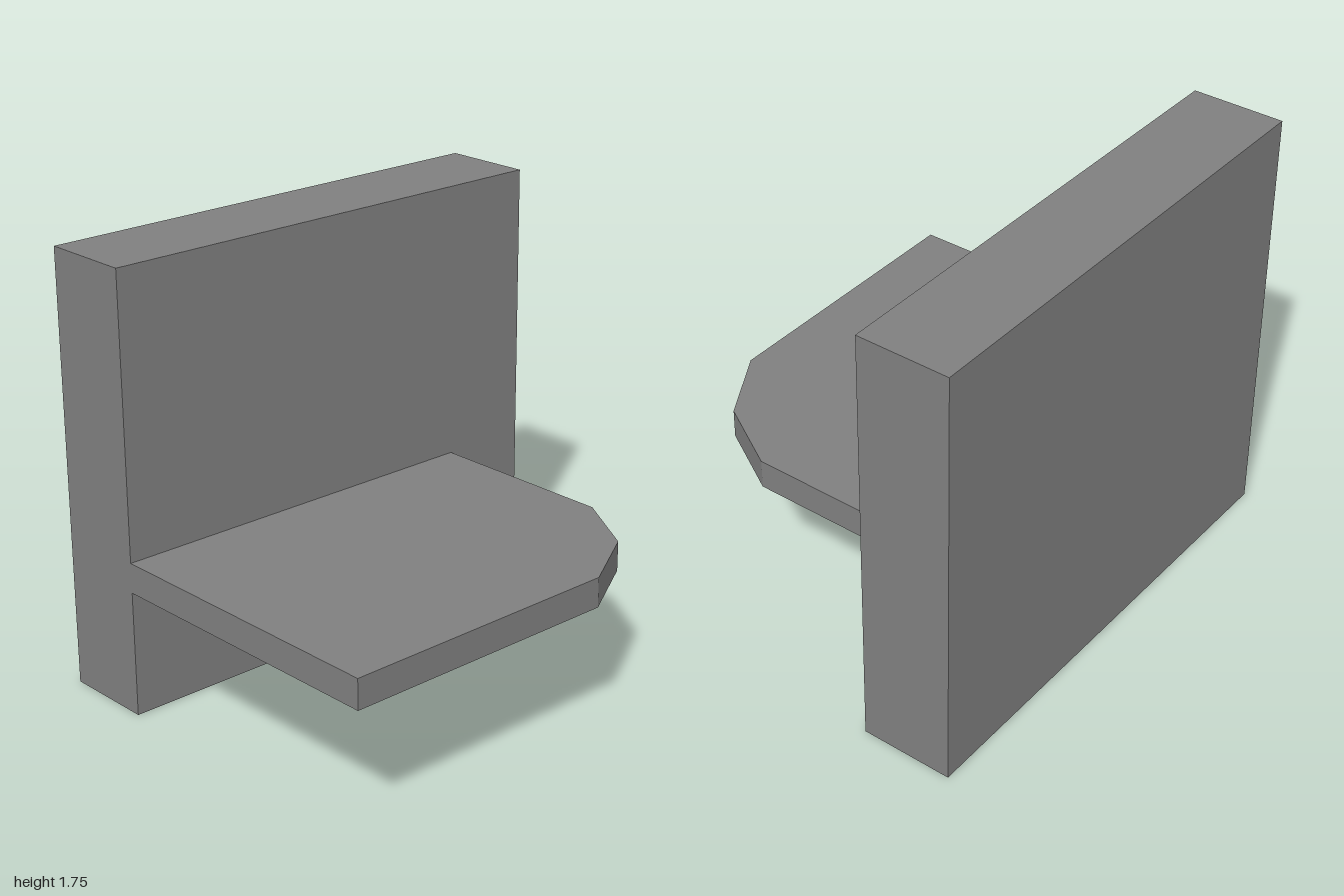
import * as THREE from 'three';

const grey = new THREE.MeshStandardMaterial({ color: 0x808080 });
grey.name = 'grey';

export function createModel() {
  const model = new THREE.Group();
  model.name = 'wallWithShelf';

  // Upright wall slab at the back
  const wall = new THREE.Mesh(new THREE.BoxGeometry(2, 1.75, 0.375), grey);
  wall.name = 'wall';
  wall.position.set(0, 0.875, -0.625);
  model.add(wall);

  // Shelf outline as (x, z), with one front corner cut in two facets
  const outline = [
    [-1, 0.8125], [0.165, 0.8125], [0.455, 0.643],
    [0.625, 0.353], [0.625, -0.4375], [-1, -0.4375],
  ];
  const shape = new THREE.Shape(outline.map(([x, z]) => new THREE.Vector2(x, -z)));
  const geometry = new THREE.ExtrudeGeometry(shape, { depth: 0.12, bevelEnabled: false });
  geometry.rotateX(-Math.PI / 2); // lay flat, thickness upward
  const shelf = new THREE.Mesh(geometry, grey);
  shelf.name = 'shelf';
  shelf.position.y = 0.505;
  model.add(shelf);

  return model;
}
